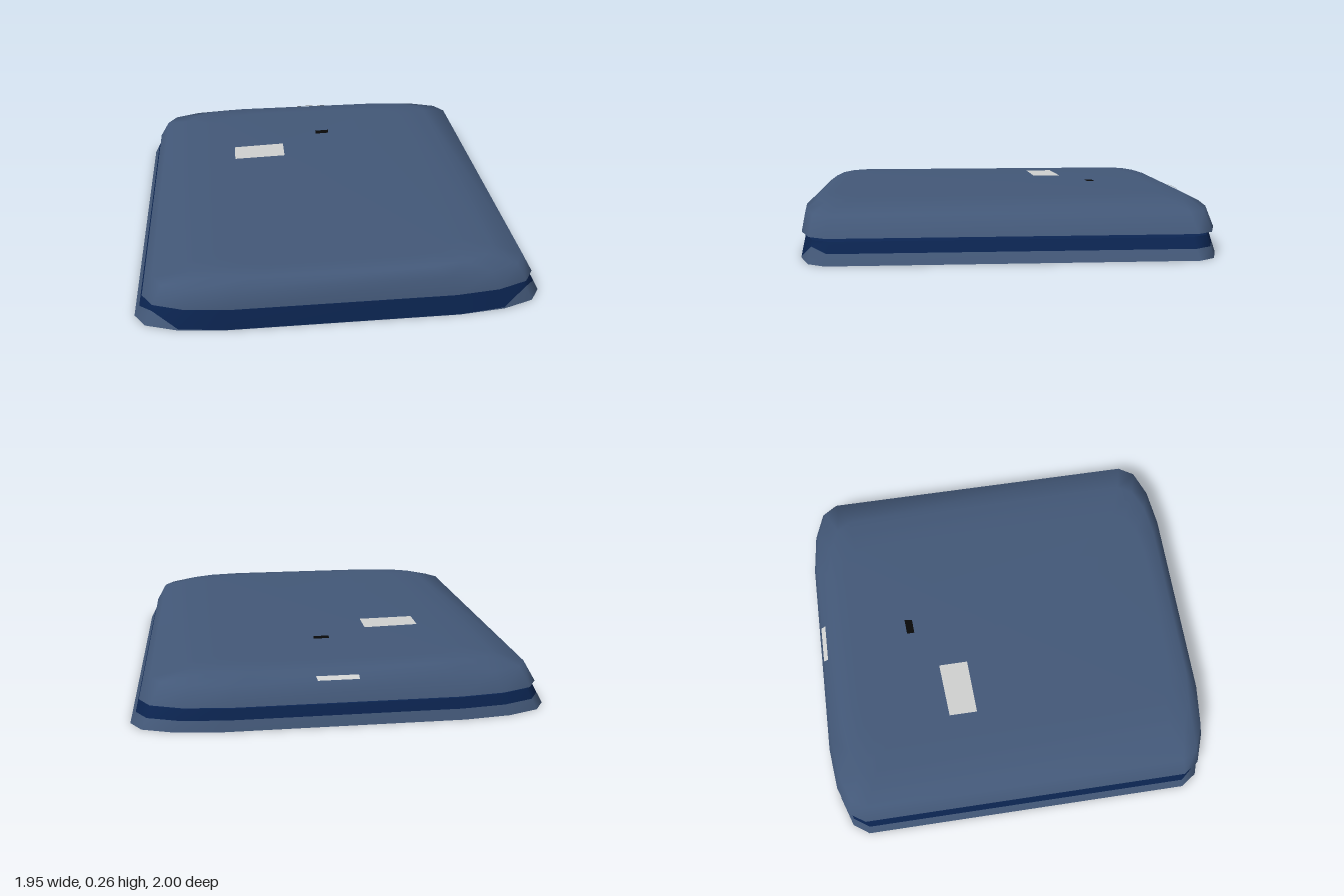
import * as THREE from 'three';

const mat = (name, color, side = THREE.FrontSide) => {
  const m = new THREE.MeshStandardMaterial({ color, side });
  m.name = name;
  return m;
};

// One corner of the rounded plan outline, as fractions of the half sizes
const CORNER = [[0.565, 1], [0.79, 0.977], [0.944, 0.925], [1, 0.845]];
const OUTLINE = [
  ...CORNER,
  ...CORNER.map(([x, z]) => [x, -z]).reverse(),
  ...CORNER.map(([x, z]) => [-x, -z]),
  ...CORNER.map(([x, z]) => [-x, z]).reverse(),
];

// Horizontal section: height, half width, front depth, back depth
const ring = (y, hx, zf, zb = zf) =>
  OUTLINE.map(([x, z]) => new THREE.Vector3(x * hx, y, z * (z > 0 ? zf : zb)));

// Skin joining a list of sections from bottom to top
function loft(name, rings, material) {
  const n = OUTLINE.length, index = [];
  for (let r = 0; r < rings.length - 1; r++) {
    for (let i = 0; i < n; i++) {
      const j = (i + 1) % n, a = r * n + i, b = r * n + j;
      index.push(a, b, b + n, a, b + n, a + n);
    }
  }
  const geo = new THREE.BufferGeometry().setFromPoints(rings.flat());
  geo.setIndex(index);
  geo.computeVertexNormals();
  const mesh = new THREE.Mesh(geo, material);
  mesh.name = name;
  return mesh;
}

// Thin four-cornered plate face
function plate(name, corners, material) {
  const geo = new THREE.BufferGeometry().setFromPoints(corners.map((c) => new THREE.Vector3(...c)));
  geo.setIndex([0, 1, 2, 0, 2, 3]);
  geo.computeVertexNormals();
  const mesh = new THREE.Mesh(geo, material);
  mesh.name = name;
  return mesh;
}

export function createModel() {
  const blue = mat('slate blue', 0x435878);
  const navy = mat('dark navy', 0x0b2450);
  const black = mat('black', 0x080808, THREE.DoubleSide);
  const white = mat('light grey', 0xcfd0cf, THREE.DoubleSide);
  const model = new THREE.Group();
  model.name = 'flatCase';

  // Base: flared skirt, light at the foot and corners, dark above
  const foot = ring(0, 0.975, 1);
  const neck = ring(0.1, 0.922, 0.982, 0.975);
  const cornerSplit = [0.01, 0.06, 0.72, 0.5];
  const split = foot.map((p, i) => {
    const z = OUTLINE[i][1];
    const t = z > 0 ? cornerSplit[i < 8 ? i : 15 - i] : 0.5;
    return p.clone().lerp(neck[i], t);
  });
  const panelEdge = ring(0, 0.85, 0.88);
  model.add(
    loft('bottomPanel', [ring(0, 0, 0), panelEdge], black),
    loft('bottomRim', [panelEdge, foot], navy),
    loft('lowerSkirt', [foot, split], blue),
    loft('upperSkirt', [split, neck], navy),
    loft('seam', [neck, ring(0.112, 0.88, 0.96), ring(0.115, 0.88, 0.96)], navy),
  );

  // Upper shell with a softly domed top
  const lip = ring(0.115, 0.93, 1);
  model.add(
    loft('shellUnderside', [ring(0.115, 0.86, 0.94), lip], navy),
    loft('upperShell', [
      lip,
      ring(0.21, 0.877, 0.985, 0.97),
      ring(0.245, 0.735, 0.94, 0.9),
      ring(0.254, 0.56, 0.86, 0.8),
      ring(0.256, 0, 0),
    ], blue),
  );

  // Painted details on the top and the back edge
  const y = 0.259;
  model.add(
    plate('topLabel', [[-0.47, y, -0.195], [-0.19, y, -0.21], [-0.19, y, -0.36], [-0.47, y, -0.34]], white),
    plate('topDot', [[0.015, y, -0.47], [0.09, y, -0.475], [0.095, y, -0.515], [0.015, y, -0.51]], black),
    plate('backStrip', [[-0.06, 0.227, -0.95], [0.135, 0.227, -0.95], [0.13, 0.214, -0.974], [-0.06, 0.214, -0.974]], white),
  );
  return model;
}
